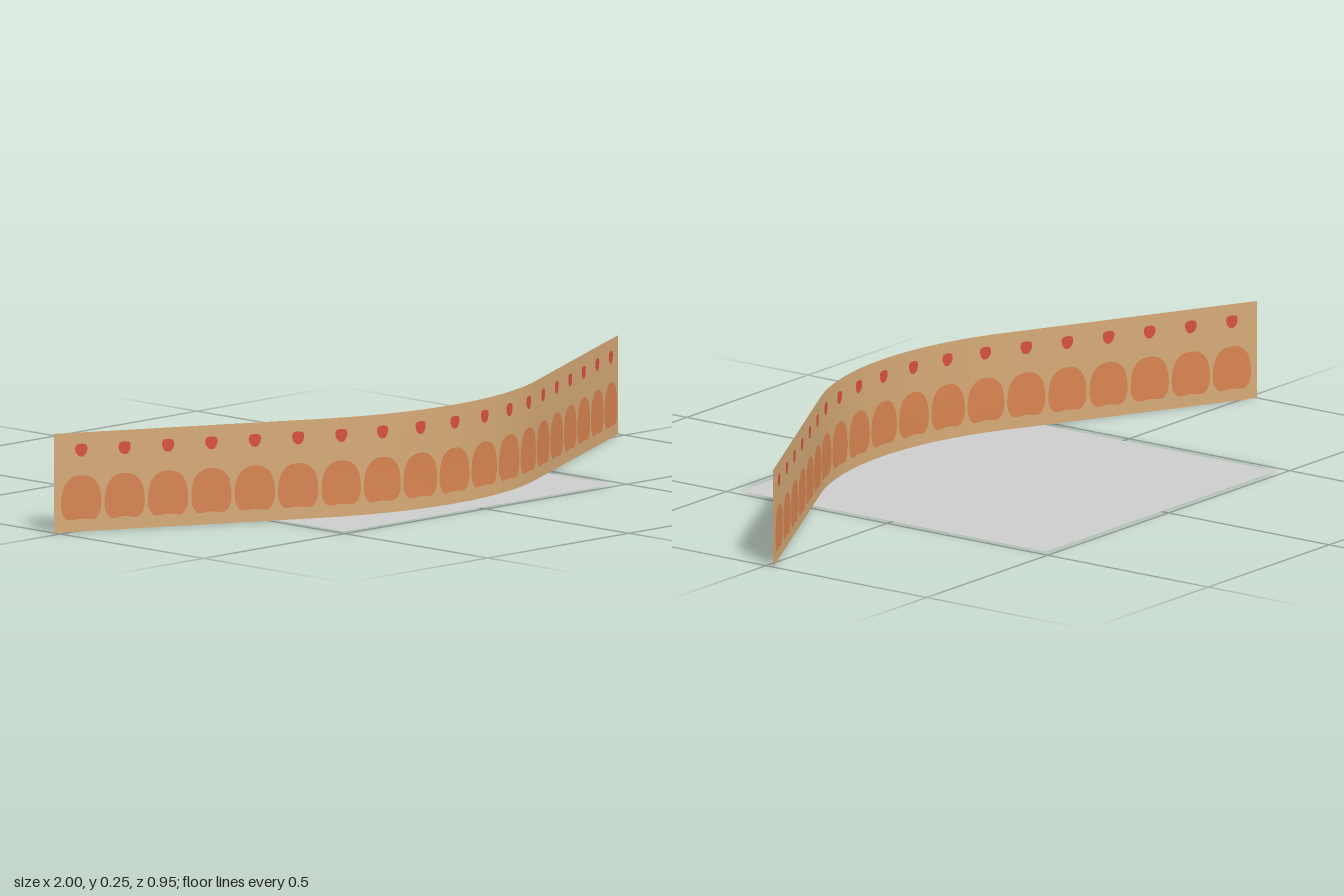
import * as THREE from 'three';

const mat = (name, color) => {
  const m = new THREE.MeshStandardMaterial({ color, side: THREE.DoubleSide });
  m.name = name;
  return m;
};

// Wall plan: a circular arc in the middle with a straight tangent run on each side
const ANGLE = 0.4765, RADIUS = 0.829, ARC = ANGLE * RADIUS;
const HALF = 1.0925, HEIGHT = 0.25, FRONT_Z = 0.39;

// Point of the wall at arc length s, pushed off the surface by d
function planPoint(s, d) {
  const a = THREE.MathUtils.clamp(s / RADIUS, -ANGLE, ANGLE);
  const run = s - THREE.MathUtils.clamp(s, -ARC, ARC);
  return {
    x: (RADIUS + d) * Math.sin(a) + run * Math.cos(a),
    z: FRONT_Z - RADIUS + (RADIUS + d) * Math.cos(a) - Math.abs(run) * Math.sin(Math.abs(a)),
  };
}

// Bend a flat geometry (x = arc length, y = height) onto the wall
function bend(geometry, s0 = 0, y0 = 0, d = 0) {
  const p = geometry.attributes.position;
  for (let i = 0; i < p.count; i++) {
    const { x, z } = planPoint(p.getX(i) + s0, d);
    p.setXYZ(i, x, p.getY(i) + y0, z);
  }
  geometry.computeVertexNormals();
  return geometry;
}

// Closed smooth outline through a few points
function outline(points, steps) {
  const curve = new THREE.CatmullRomCurve3(
    points.map(([x, y]) => new THREE.Vector3(x, y, 0)), true);
  return new THREE.Shape(curve.getPoints(steps).slice(0, -1).map(v => new THREE.Vector2(v.x, v.y)));
}

export function createModel() {
  const group = new THREE.Group();
  const tan = mat('tan wall', 0xd6aa76);
  const orange = mat('orange arches', 0xd88450);
  const red = mat('red dots', 0xd65040);
  const grey = mat('grey floor', 0xcccccc);

  const add = (name, geometry, material) => {
    const mesh = new THREE.Mesh(geometry, material);
    mesh.name = name;
    group.add(mesh);
    return mesh;
  };

  // Square floor sheet
  add('floor', new THREE.PlaneGeometry(0.954, 0.954).rotateX(-Math.PI / 2), grey);

  // Curved upright wall
  add('wall', bend(new THREE.PlaneGeometry(2 * HALF, HEIGHT, 96, 1), 0, HEIGHT / 2), tan);

  // Painted row of arches with a dot above each, on both faces of the wall
  const arch = outline([
    [-0.036, 0.031], [0, 0.033], [0.036, 0.031], [0.050, 0.05], [0.052, 0.085],
    [0.043, 0.119], [0.022, 0.138], [-0.018, 0.140], [-0.042, 0.121],
    [-0.052, 0.085], [-0.050, 0.05],
  ], 44);
  const dot = outline([
    [0.006, -0.017], [0.015, -0.004], [0.014, 0.011], [0, 0.015],
    [-0.014, 0.011], [-0.015, -0.004], [-0.006, -0.016],
  ], 21);
  for (const [side, d] of [['front', 0.003], ['back', -0.003]]) {
    for (let i = -9; i <= 9; i++) {
      const s = i * 0.1135;
      add(side + 'Arch', bend(new THREE.ShapeGeometry(arch), s, 0, d), orange);
      add(side + 'Dot', bend(new THREE.ShapeGeometry(dot), s, 0.207, d), red);
    }
  }

  // Straight runs ignore the offset along their normal inside planPoint only through the arc ends,
  // so every painted patch stays parallel to the wall.
  return group;
}
